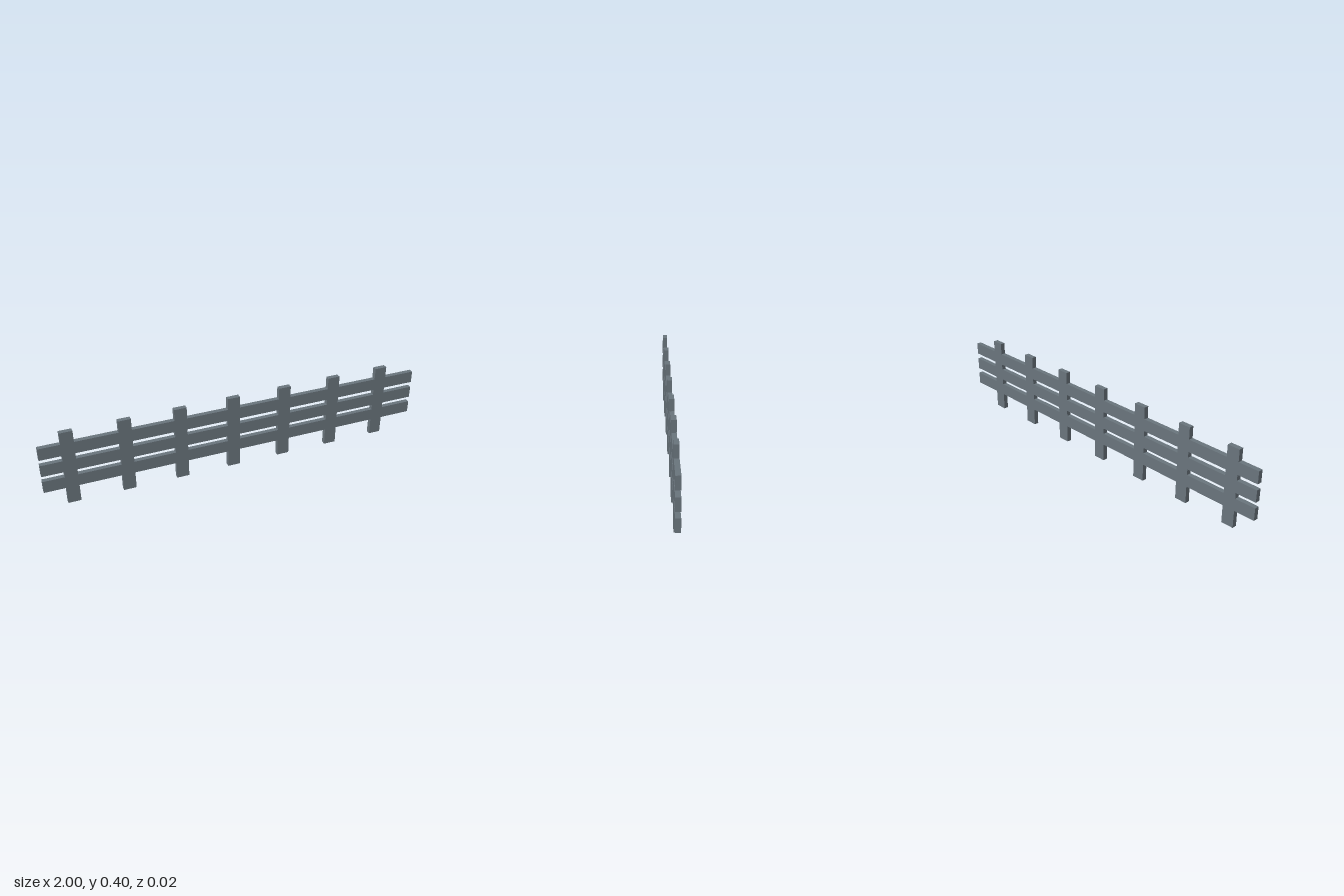
import * as THREE from 'three';

const POST_W = 0.064, HEIGHT = 0.398, DEPTH = 0.024;

export function createModel() {
  const fence = new THREE.Group();
  fence.name = 'fence';
  const slate = new THREE.MeshStandardMaterial({ color: 0x6a757d });
  slate.name = 'slateGrey';

  // Box given by its left, right, bottom and top edges
  const board = (name, x0, x1, y0, y1) => {
    const mesh = new THREE.Mesh(new THREE.BoxGeometry(x1 - x0, y1 - y0, DEPTH), slate);
    mesh.position.set((x0 + x1) / 2, (y0 + y1) / 2, 0);
    mesh.name = name;
    fence.add(mesh);
  };

  // Seven evenly spaced posts
  const posts = Array.from({ length: 7 }, (_, i) => -0.861 + i * 0.277);
  posts.forEach((x) => board('post', x - POST_W / 2, x + POST_W / 2, 0, HEIGHT));

  // Three rails, flush with the posts and running between them to both ends
  const starts = [-1, ...posts.map((x) => x + POST_W / 2)];
  const ends = [...posts.map((x) => x - POST_W / 2), 1];
  const rails = { lowerRail: [0.09, 0.153], middleRail: [0.182, 0.244], upperRail: [0.274, 0.337] };
  for (const [name, [y0, y1]] of Object.entries(rails)) {
    starts.forEach((x0, i) => board(name, x0, ends[i], y0, y1));
  }
  return fence;
}
